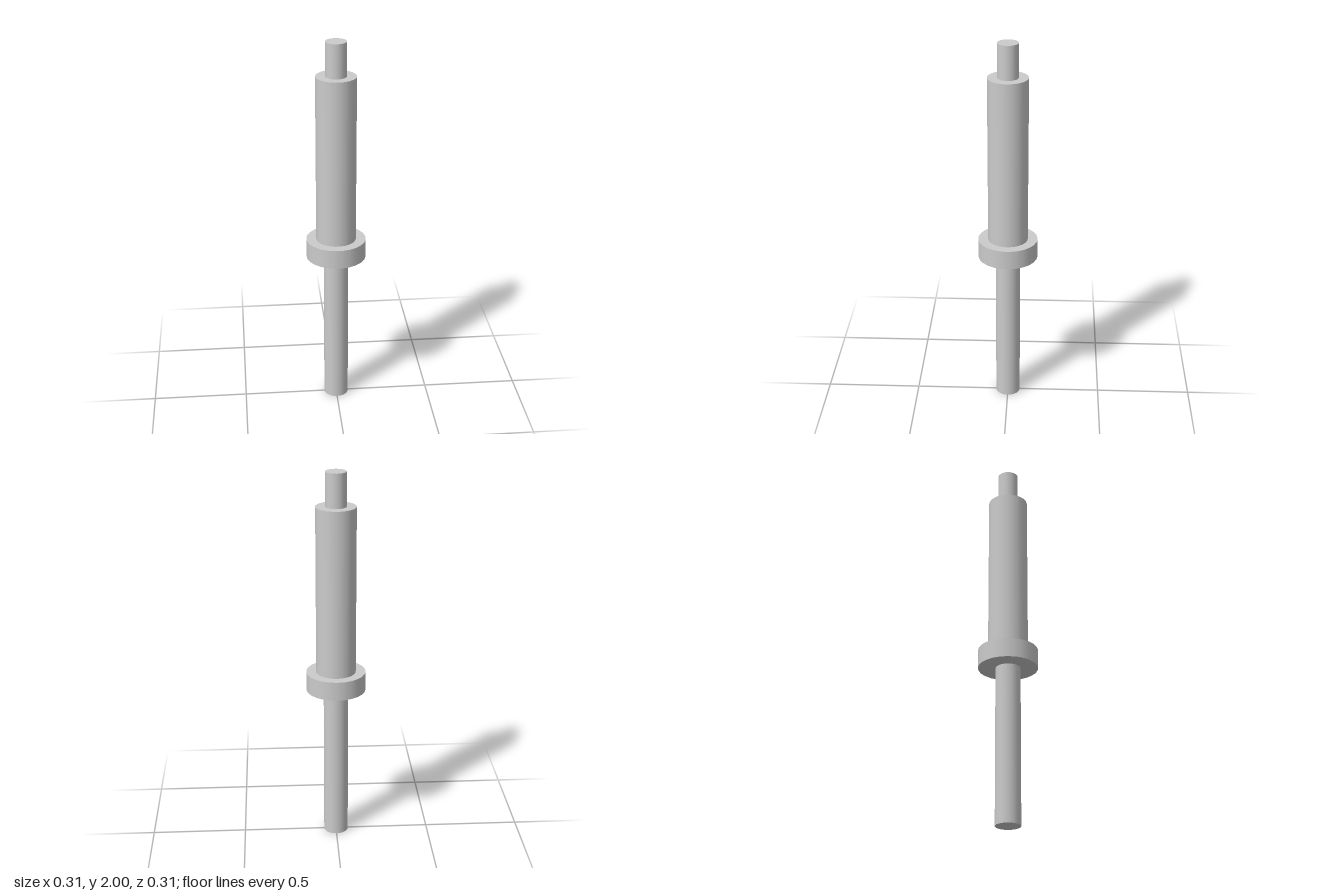
import * as THREE from 'three';

const SIDES = 25;

export function createModel() {
  const group = new THREE.Group();
  const material = new THREE.MeshStandardMaterial({ color: 0xcccccc });

  // Upright capped cylinder between two heights, with a vertex at the back
  function addCylinder(name, radius, bottom, top) {
    const geometry = new THREE.CylinderGeometry(
      radius, radius, top - bottom, SIDES, 1, false, Math.PI, Math.PI * 2);
    const mesh = new THREE.Mesh(geometry, material);
    mesh.name = name;
    mesh.position.y = (bottom + top) / 2;
    group.add(mesh);
  }

  addCylinder('lowerRod', 0.065, 0, 0.837);
  addCylinder('collar', 0.156, 0.837, 0.938);
  addCylinder('barrel', 0.104, 0.938, 1.823);
  addCylinder('tipPin', 0.054, 1.823, 2);

  return group;
}
